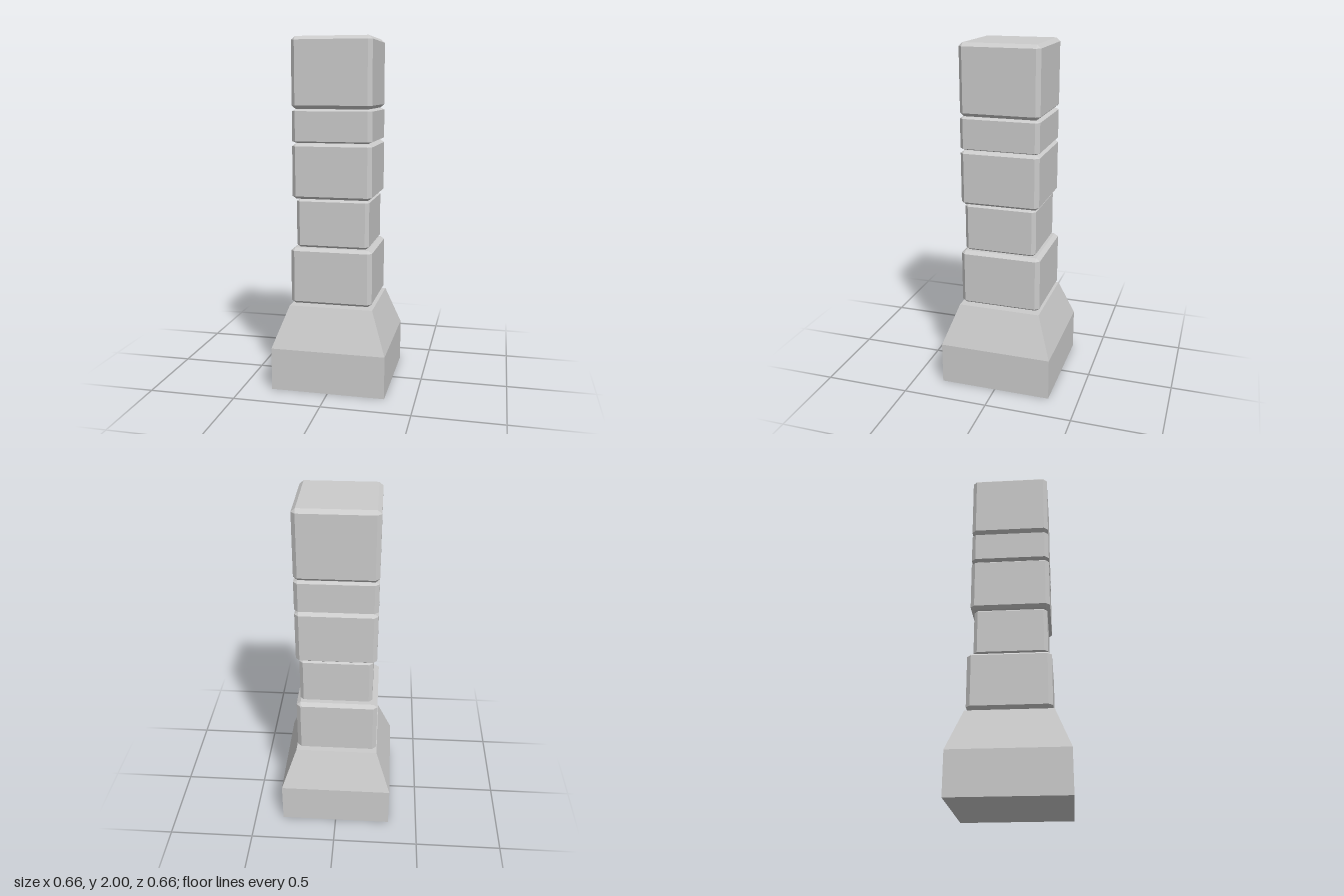
import * as THREE from 'three';
import { ConvexGeometry } from 'three/addons/geometries/ConvexGeometry.js';

const material = new THREE.MeshStandardMaterial({ color: 0xcccccc, flatShading: true });
const signs = [-1, 1];

function addPart(group, name, geometry) {
  const mesh = new THREE.Mesh(geometry, material);
  mesh.name = name;
  group.add(mesh);
  return mesh;
}

// Unit cube with every edge chamfered and every corner cut
function chamferedCube(chamfer) {
  const outer = 0.5, inner = 0.5 - chamfer;
  const points = [];
  for (const x of signs) for (const y of signs) for (const z of signs) {
    points.push(
      new THREE.Vector3(x * outer, y * inner, z * inner),
      new THREE.Vector3(x * inner, y * outer, z * inner),
      new THREE.Vector3(x * inner, y * inner, z * outer)
    );
  }
  return new ConvexGeometry(points);
}

// Square plinth: straight sides below, tapered shoulder above
function plinthGeometry() {
  const points = [];
  for (const [y, half] of [[0, 0.328], [0.245, 0.328], [0.482, 0.241]]) {
    for (const x of signs) for (const z of signs) {
      points.push(new THREE.Vector3(x * half, y, z * half));
    }
  }
  return new ConvexGeometry(points);
}

export function createModel() {
  const group = new THREE.Group();
  group.name = 'blockPillar';
  addPart(group, 'plinth', plinthGeometry());

  // Stacked stones: name, bottom, top, width, sideways offset
  const stones = [
    ['lowestStone', 0.493, 0.82, 0.47, -0.002],
    ['narrowStone', 0.822, 1.102, 0.418, 0.003],
    ['middleStone', 1.102, 1.415, 0.455, 0.001],
    ['thinStone', 1.418, 1.603, 0.455, 0.001],
    ['topStone', 1.605, 2.0, 0.455, 0.0],
  ];
  const stone = chamferedCube(0.05);
  for (const [name, bottom, top, width, offset] of stones) {
    const geometry = stone.clone().scale(width, top - bottom, width);
    addPart(group, name, geometry).position.set(offset, (bottom + top) / 2, offset);
  }
  return group;
}
